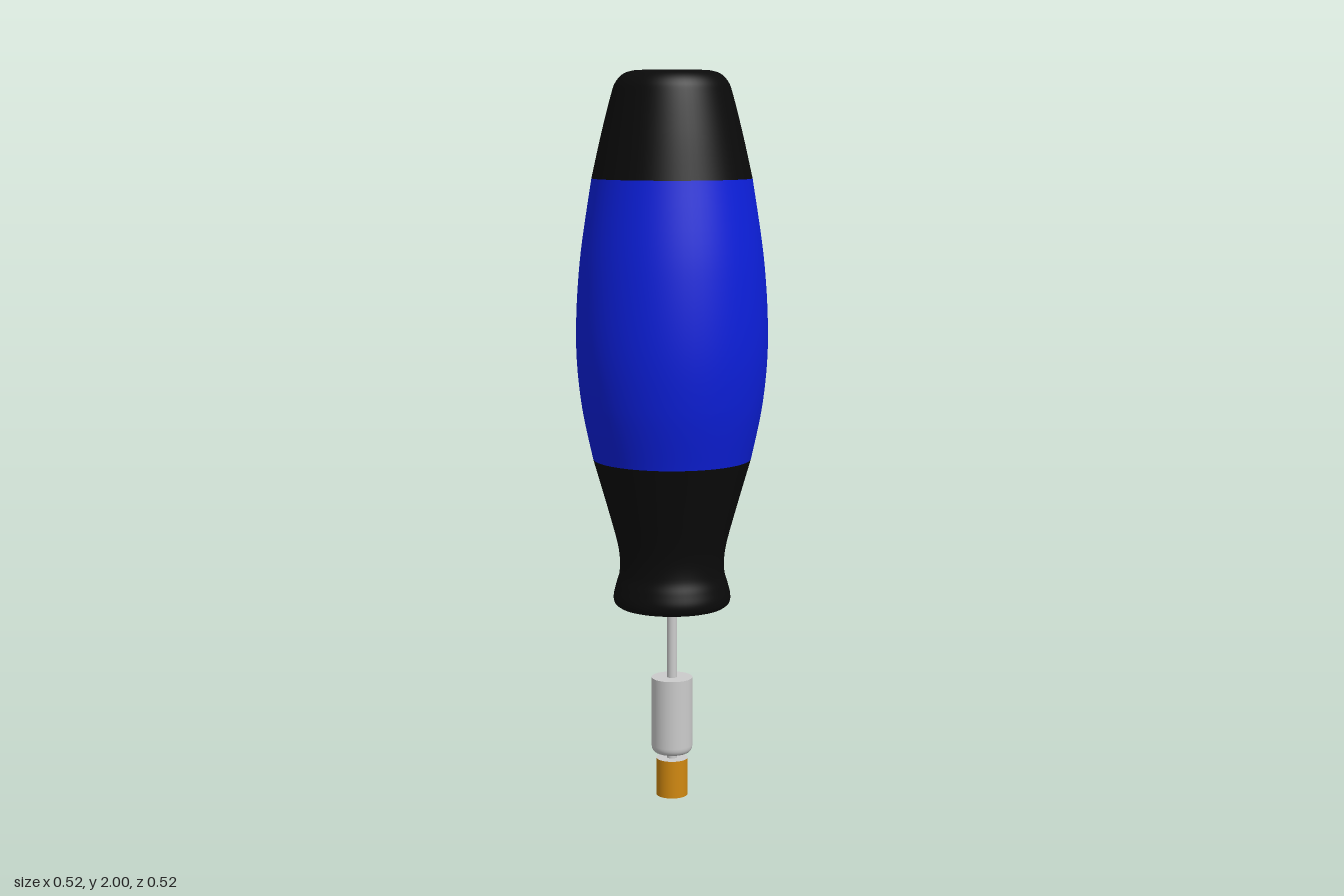
import * as THREE from 'three';

const V = (r, y) => new THREE.Vector2(r, y);
const SEGMENTS = 64;

function add(group, name, geometry, color, y = 0) {
  const mesh = new THREE.Mesh(geometry, new THREE.MeshStandardMaterial({ color }));
  mesh.name = name;
  mesh.position.y = y;
  group.add(mesh);
}

// smooth profile through [radius, y] pairs
const spline = (pairs, n) => new THREE.SplineCurve(pairs.map(([r, y]) => V(r, y))).getPoints(n);
const lathe = (points) => new THREE.LatheGeometry(points, SEGMENTS);

export function createModel() {
  const group = new THREE.Group();
  const black = 0x0a0a0a, blue = 0x0c1fdc, brass = 0xd08810, grey = 0xcccccc;

  // lower grip: flat end, rolled rim, narrow neck flaring upward
  add(group, 'lowerGrip', lathe([
    V(0, 0.545), V(0.14, 0.545),
    ...spline([[0.148, 0.545], [0.159, 0.555], [0.161, 0.575], [0.154, 0.605],
      [0.144, 0.645], [0.148, 0.71], [0.177, 0.82], [0.216, 0.955]], 40),
  ]), black);

  // bulging middle grip
  add(group, 'middleGrip', lathe(
    spline([[0.216, 0.955], [0.247, 1.11], [0.26, 1.28], [0.249, 1.49], [0.216, 1.715]], 32)), blue);

  // upper grip: taper to a rounded, flat top
  add(group, 'upperGrip', lathe([
    ...spline([[0.216, 1.715], [0.19, 1.83], [0.163, 1.935], [0.15, 1.97], [0.128, 1.992], [0.1, 2]], 32),
    V(0.09, 2), V(0, 2),
  ]), black);

  // thin shaft running from the handle to the tip
  add(group, 'shaft', new THREE.CylinderGeometry(0.014, 0.014, 0.5, 24), grey, 0.32);

  // sleeve with a rounded lower edge
  add(group, 'sleeve', lathe([
    V(0, 0.122), V(0.034, 0.122),
    ...new THREE.QuadraticBezierCurve(V(0.036, 0.122), V(0.057, 0.122), V(0.057, 0.145)).getPoints(8),
    V(0.057, 0.338),
  ]), grey);
  const top = new THREE.CircleGeometry(0.057, SEGMENTS).rotateX(-Math.PI / 2);
  add(group, 'sleeveTop', top, grey, 0.338);

  // tip: brass band around a grey core
  add(group, 'tipBand', new THREE.CylinderGeometry(0.044, 0.044, 0.106, SEGMENTS, 1, true), brass, 0.053);
  add(group, 'tipCore', new THREE.CylinderGeometry(0.0435, 0.0435, 0.106, SEGMENTS), grey, 0.053);

  return group;
}
